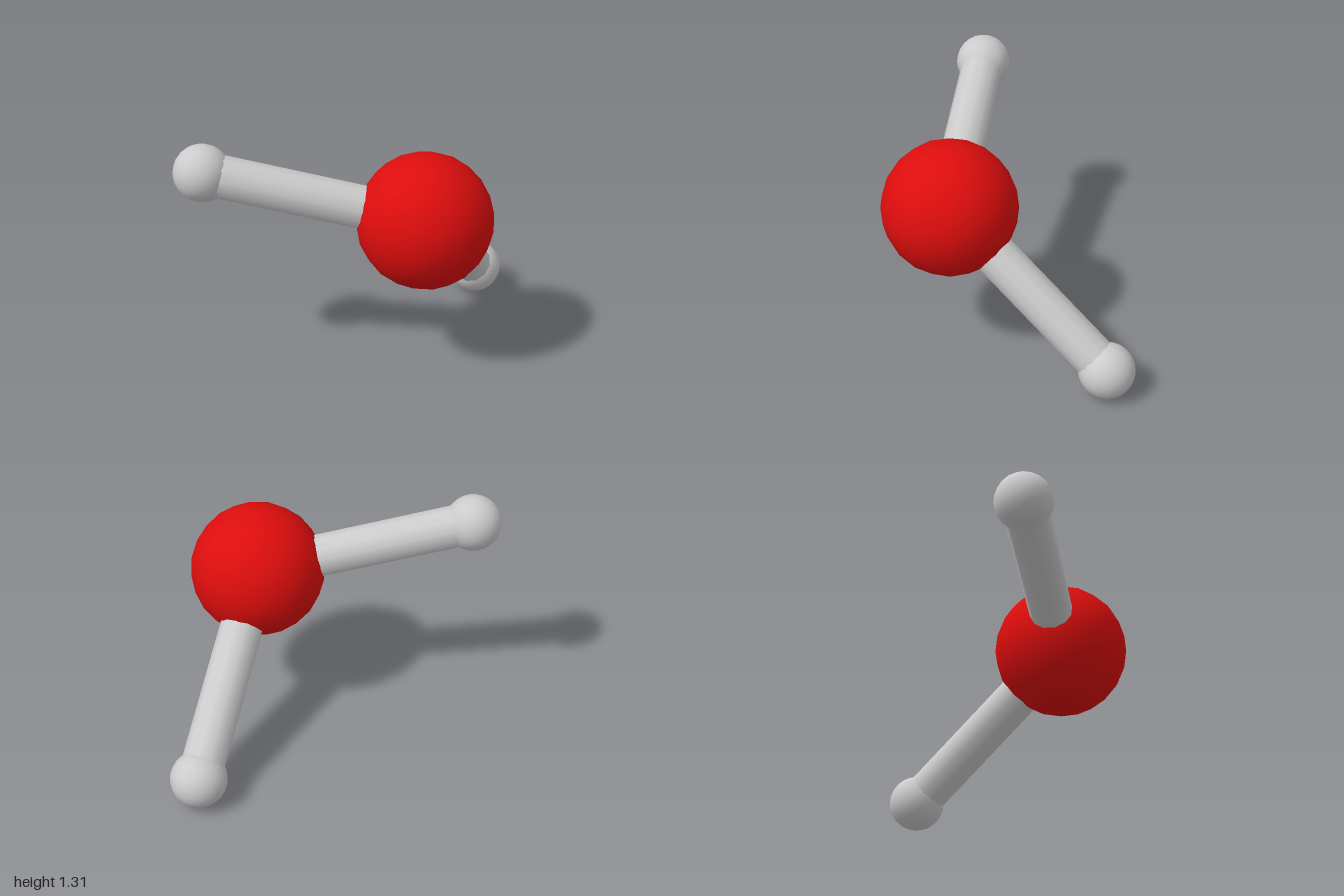
import * as THREE from 'three';

const UP = new THREE.Vector3(0, 1, 0);

export function createModel() {
  const model = new THREE.Group();
  const red = new THREE.MeshStandardMaterial({ color: 0xdd0d0d });
  const grey = new THREE.MeshStandardMaterial({ color: 0xcccccc });

  function addAtom(name, center, radius, material) {
    const atom = new THREE.Mesh(new THREE.IcosahedronGeometry(radius, 3), material);
    atom.name = name;
    atom.position.copy(center);
    model.add(atom);
  }

  // Rod running from one atom centre to another
  function addBond(name, from, to) {
    const span = to.clone().sub(from);
    const bond = new THREE.Mesh(new THREE.CylinderGeometry(0.117, 0.117, span.length(), 12), grey);
    bond.name = name;
    bond.position.copy(from).addScaledVector(span, 0.5);
    bond.quaternion.setFromUnitVectors(UP, span.normalize());
    model.add(bond);
  }

  // Large central atom
  const center = new THREE.Vector3(0.27, 0.877, -0.023);
  addAtom('centralAtom', center, 0.364, red);

  // Two small atoms, each joined to the centre by a bond
  const outer = {
    front: new THREE.Vector3(-0.486, 1.153, 0.848),
    back: new THREE.Vector3(-0.184, 0.151, -0.848),
  };
  for (const [side, position] of Object.entries(outer)) {
    addAtom(side + 'Atom', position, 0.152, grey);
    addBond(side + 'Bond', center, position);
  }
  return model;
}
